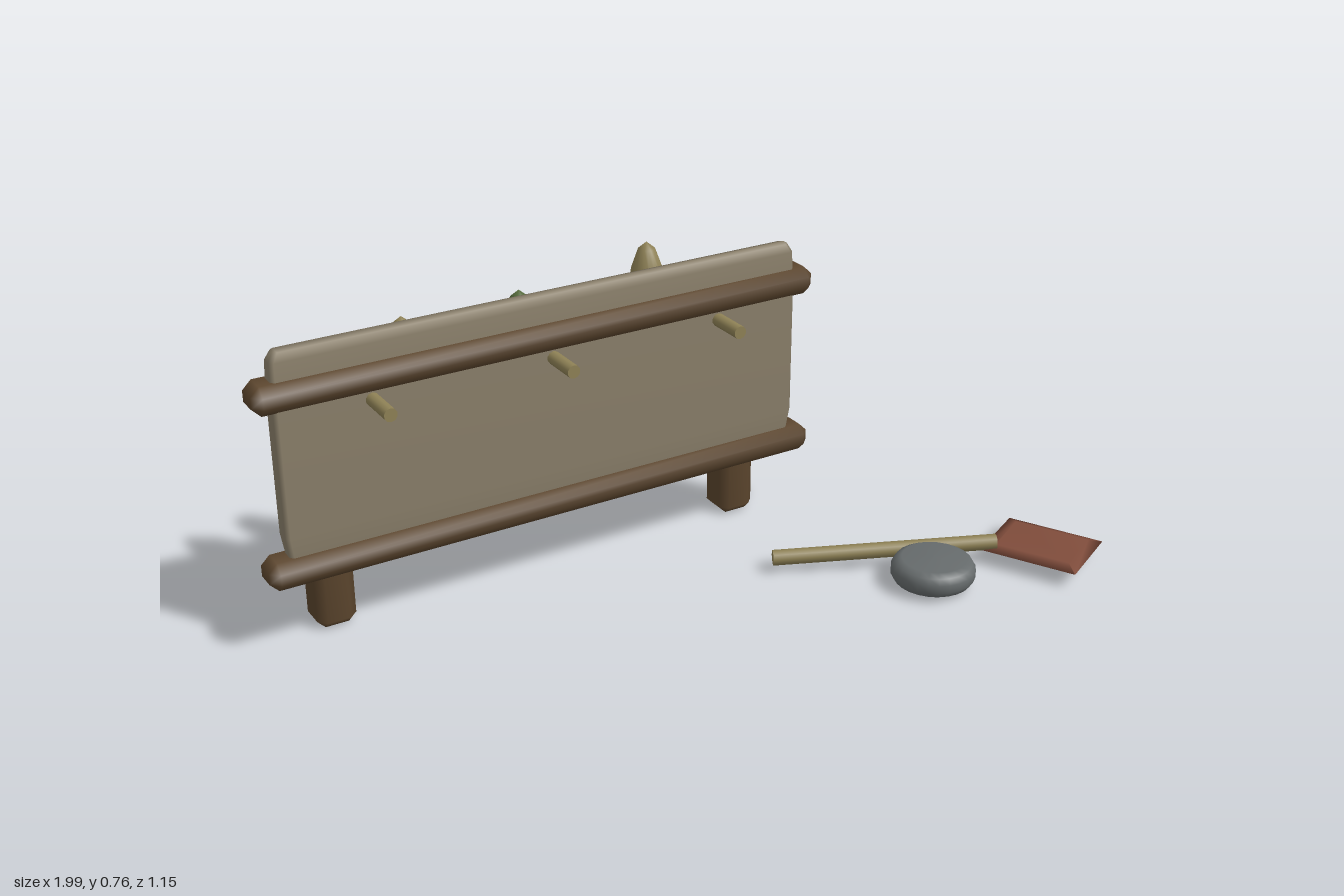
import * as THREE from 'three';
import { mergeVertices } from 'three/addons/utils/BufferGeometryUtils.js';
import { ConvexGeometry } from 'three/addons/geometries/ConvexGeometry.js';

const flat = (name, color) => Object.assign(new THREE.MeshStandardMaterial({ color }), { name });

// Convex solid with softly shaded edges
function softHull(points) {
  const geo = new ConvexGeometry(points);
  geo.deleteAttribute('normal');
  const merged = mergeVertices(geo, 1e-4);
  merged.computeVertexNormals();
  return merged;
}

// Box with every edge and corner cut by c
function chamferBox(w, h, d, c) {
  const pts = [];
  const [x, y, z] = [w / 2, h / 2, d / 2];
  for (const sx of [-1, 1]) for (const sy of [-1, 1]) for (const sz of [-1, 1]) {
    pts.push(new THREE.Vector3(sx * x, sy * (y - c), sz * (z - c)));
    pts.push(new THREE.Vector3(sx * (x - c), sy * y, sz * (z - c)));
    pts.push(new THREE.Vector3(sx * (x - c), sy * (y - c), sz * z));
  }
  return softHull(pts);
}

// Slab from horizontal rings [y, half width, half depth] with trimmed corners
function ringSlab(rings, cut) {
  const pts = [];
  for (const [y, x, z] of rings) for (const sx of [-1, 1]) for (const sz of [-1, 1]) {
    pts.push(new THREE.Vector3(sx * x, y, sz * (z - cut)));
    pts.push(new THREE.Vector3(sx * (x - cut), y, sz * z));
  }
  return softHull(pts);
}

// Round rod between two points
function rodGeometry(a, b, r) {
  const dir = b.clone().sub(a);
  const geo = new THREE.CylinderGeometry(r, r, dir.length(), 10);
  geo.applyQuaternion(new THREE.Quaternion().setFromUnitVectors(new THREE.Vector3(0, 1, 0), dir.normalize()));
  const mid = a.clone().add(b).multiplyScalar(0.5);
  return geo.translate(mid.x, mid.y, mid.z);
}

export function createModel() {
  const model = new THREE.Group();
  model.name = 'hideRack';
  const wood = flat('dark wood', 0x5b452d);
  const hide = flat('hide', 0x8a7f6a);
  const tan = flat('pale wood', 0x8f8256);
  const green = flat('leaf green', 0x566b3c);
  const grey = flat('stone grey', 0x666b6c);
  const rust = flat('rusty red', 0x7f4c3b);

  const add = (name, geo, mat, x = 0, y = 0, z = 0) => {
    const mesh = new THREE.Mesh(geo, mat);
    mesh.name = name;
    mesh.position.set(x, y, z);
    model.add(mesh);
    return mesh;
  };

  // Stretched panel
  add('panel', ringSlab([
    [0.205, 0.685, 0.017], [0.225, 0.69, 0.021], [0.3, 0.7, 0.027],
    [0.66, 0.7, 0.027], [0.735, 0.697, 0.022], [0.757, 0.685, 0.016],
  ], 0.009), hide, -0.25, 0, -0.182);

  // Rails and posts
  const railGeo = chamferBox(1.5, 0.072, 0.094, 0.022);
  add('topRail', railGeo, wood, -0.25, 0.654, -0.182);
  add('bottomRail', railGeo, wood, -0.25, 0.211, -0.182);
  const postGeo = chamferBox(0.1, 0.625, 0.102, 0.02);
  add('rightPost', postGeo, wood, -0.82, 0.3125, -0.261);
  add('leftPost', postGeo, wood, 0.325, 0.3125, -0.261);

  // Pegs on the front
  [-0.716, -0.25, 0.217].forEach((x, i) => add('peg' + (i + 1), rodGeometry(
    new THREE.Vector3(x, 0.6, -0.17), new THREE.Vector3(x, 0.6, -0.053), 0.017), tan));

  // Hanging pods behind
  const podGeo = new THREE.SphereGeometry(0.06, 16, 8).scale(1, 4.2, 1);
  [
    [-0.7, -0.33, green], [-0.545, -0.37, tan], [-0.39, -0.33, green],
    [-0.225, -0.38, green], [0.175, -0.295, tan], [0.225, -0.52, tan],
  ].forEach(([x, z, mat], i) => add('pod' + (i + 1), podGeo, mat, x, 0.443, z));

  // Whetstone
  const stoneProfile = [[0, 0.002], [0.08, 0.004], [0.097, 0.014], [0.106, 0.029],
    [0.106, 0.049], [0.097, 0.064], [0.08, 0.073], [0, 0.075]].map(([r, y]) => new THREE.Vector2(r, y));
  add('stone', new THREE.LatheGeometry(stoneProfile, 24), grey, 0.532, 0, 0.362);

  // Hatchet with a thin-edged square blade
  add('hatchetHandle', rodGeometry(
    new THREE.Vector3(0.225, 0.036, 0.1), new THREE.Vector3(0.738, 0.057, 0.357), 0.02), tan);
  const blade = add('hatchetBlade', ringSlab([
    [-0.011, 0.072, 0.098], [0, 0.101, 0.127], [0.011, 0.072, 0.098],
  ], 0.002), rust, 0.846, 0.039, 0.41);
  blade.rotation.y = 0.485;

  return model;
}
